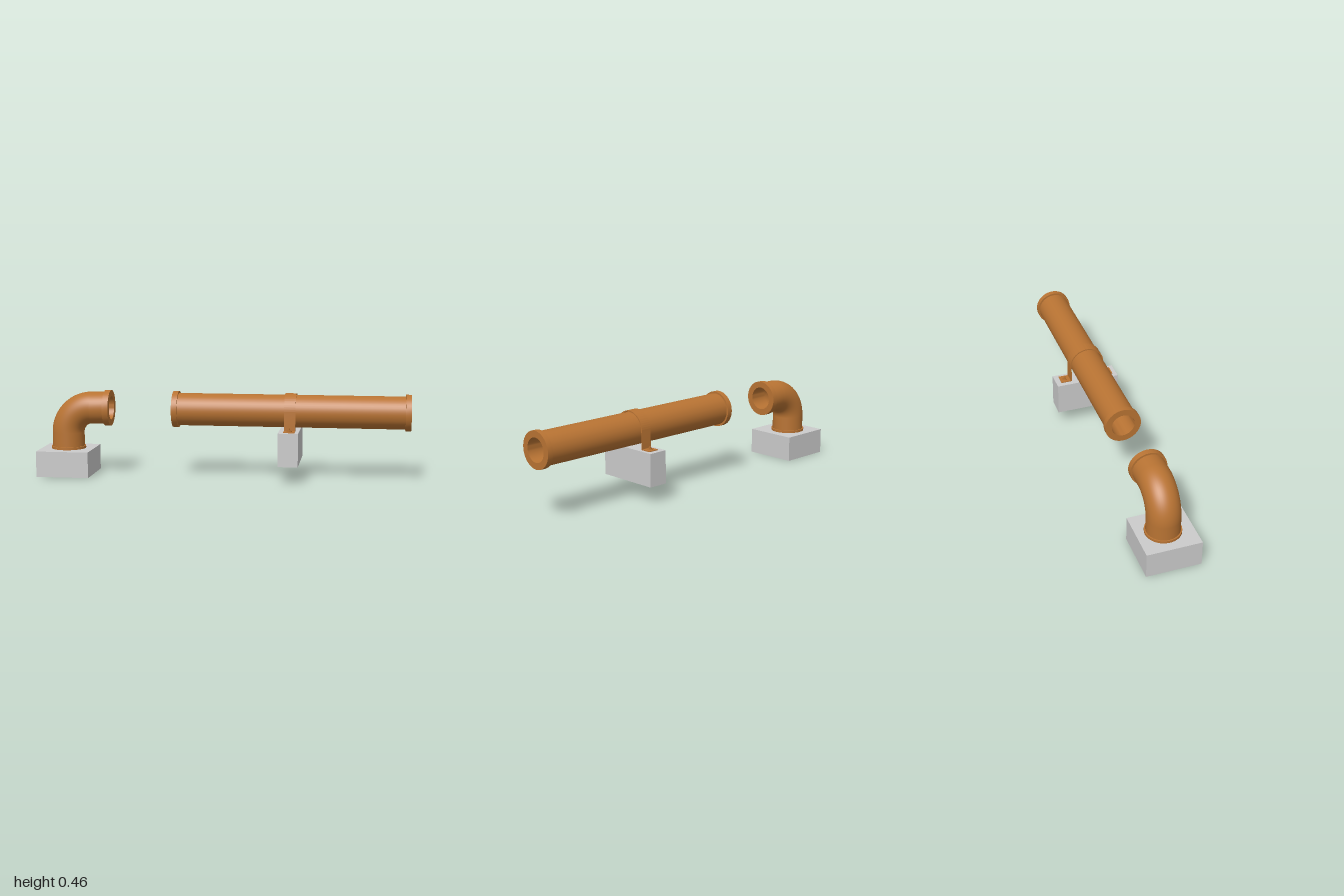
import * as THREE from 'three';
import { toCreasedNormals } from 'three/addons/utils/BufferGeometryUtils.js';

const copper = new THREE.MeshStandardMaterial({ color: 0xb87333 });
const copperInside = new THREE.MeshStandardMaterial({ color: 0xb87333, side: THREE.BackSide });
const grey = new THREE.MeshStandardMaterial({ color: 0xcccccc });

const AXIS_Y = 0.364, AXIS_Z = 0.003; // pipe centre line
const R = 0.087, BORE = 0.063, FLANGE = 0.097;

function add(parent, name, geometry, material, x = 0, y = 0, z = 0) {
  const mesh = new THREE.Mesh(geometry, material);
  mesh.name = name;
  mesh.position.set(x, y, z);
  parent.add(mesh);
  return mesh;
}

// Turned part from [radius, height] pairs, with sharp shoulders
function turned(profile) {
  const points = profile.map(([r, h]) => new THREE.Vector2(r, h));
  return toCreasedNormals(new THREE.LatheGeometry(points, 48), 0.6);
}

function makeStraightPipe() {
  const a = -0.27, b = 1, t = 0.03;
  const geometry = turned([
    [BORE, a], [FLANGE, a], [FLANGE, a + t], [R, a + t],
    [R, b - t], [FLANGE, b - t], [FLANGE, b], [BORE, b], [BORE, a],
  ]).rotateZ(-Math.PI / 2);
  const group = new THREE.Group();
  group.name = 'straightPipe';
  add(group, 'flangedPipe', geometry, copper, 0, AXIS_Y, AXIS_Z);
  return group;
}

function makeElbow() {
  const group = new THREE.Group();
  group.name = 'elbowPipe';
  const bend = 0.137, cx = -0.72, cy = AXIS_Y - bend;
  // Quarter bend, outer and inner walls
  for (const [name, r, mat] of [['bendOuter', R, copper], ['bendBore', BORE, copperInside]]) {
    const geometry = new THREE.TorusGeometry(bend, r, 48, 32, Math.PI / 2).rotateZ(Math.PI / 2);
    add(group, name, geometry, mat, cx, cy, AXIS_Z);
  }
  // Horizontal outlet
  const end = -0.615;
  add(group, 'outlet', turned([
    [R, cx], [R, end - 0.032], [FLANGE, end - 0.032], [FLANGE, end], [BORE, end], [BORE, cx],
  ]).rotateZ(-Math.PI / 2), copper, 0, AXIS_Y, AXIS_Z);
  // Vertical foot with its thin collar
  add(group, 'foot', turned([
    [BORE, cy], [BORE, 0.138], [0.094, 0.138], [0.094, 0.152], [R, 0.152], [R, cy],
  ]), copper, cx - bend, 0, AXIS_Z);
  return group;
}

function makeClamp() {
  const group = new THREE.Group();
  group.name = 'pipeClamp';
  const inner = 0.089, outer = 0.095, foot = 0.149, t = 0.004;
  const base = 0.267 - AXIS_Y;
  // Strap outline across the pipe: over the top, down both sides, feet outward
  const s = new THREE.Shape();
  s.moveTo(foot, base);
  s.lineTo(foot, base + t);
  s.lineTo(outer, base + t);
  s.lineTo(outer, 0);
  s.absarc(0, 0, outer, 0, Math.PI, false);
  s.lineTo(-outer, base + t);
  s.lineTo(-foot, base + t);
  s.lineTo(-foot, base);
  s.lineTo(-inner, base);
  s.lineTo(-inner, 0);
  s.absarc(0, 0, inner, Math.PI, 0, true);
  s.lineTo(inner, base);
  s.closePath();
  const width = 0.06;
  const strap = new THREE.ExtrudeGeometry(s, { depth: width, bevelEnabled: false, curveSegments: 40 })
    .translate(0, 0, -width / 2).rotateY(-Math.PI / 2);
  add(group, 'strap', toCreasedNormals(strap, 0.5), copper, 0.365, AXIS_Y, AXIS_Z);
  // Washer, hexagonal nut and stud on each foot
  for (const side of [-1, 1]) {
    const z = AXIS_Z + side * 0.122;
    const bolt = new THREE.Group();
    bolt.name = side > 0 ? 'frontBolt' : 'backBolt';
    bolt.position.set(0.365, 0.271, z);
    add(bolt, 'washer', new THREE.CylinderGeometry(0.014, 0.014, 0.003, 24), copper, 0, 0.0015, 0);
    add(bolt, 'nut', toCreasedNormals(new THREE.CylinderGeometry(0.009, 0.009, 0.006, 6), 0.5), copper, 0, 0.006, 0);
    add(bolt, 'stud', new THREE.CylinderGeometry(0.004, 0.004, 0.016, 16), copper, 0, 0.009, 0);
    group.add(bolt);
  }
  return group;
}

export function createModel() {
  const model = new THREE.Group();
  model.name = 'pipeRun';
  model.add(makeStraightPipe(), makeElbow(), makeClamp());
  // Blocks the pipework stands on
  add(model, 'elbowBlock', new THREE.BoxGeometry(0.286, 0.139, 0.29), grey, -0.857, 0.0695, 0.01);
  add(model, 'clampBlock', new THREE.BoxGeometry(0.107, 0.177, 0.35), grey, 0.362, 0.1785, 0);
  return model;
}
